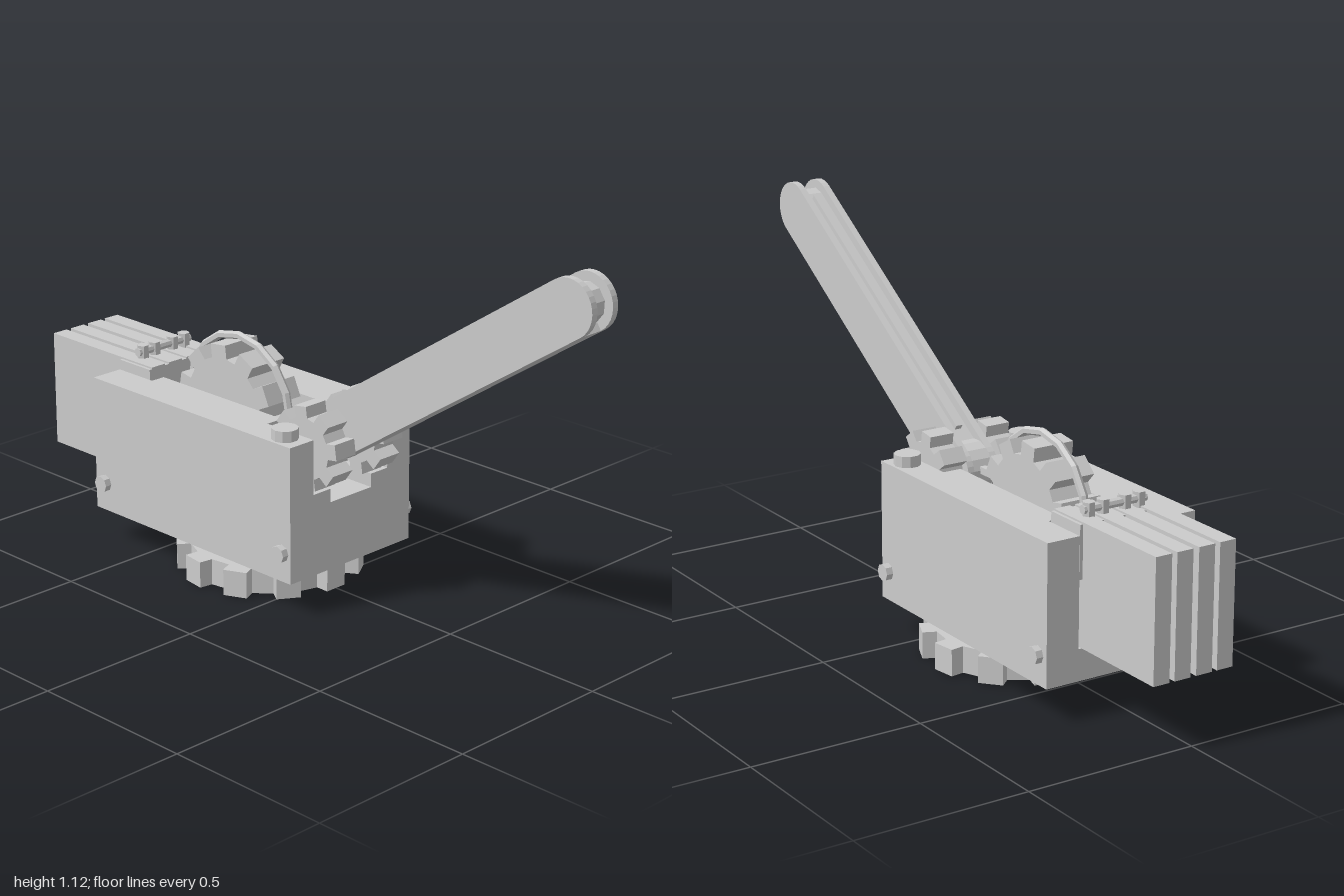
import * as THREE from 'three';

const material = new THREE.MeshStandardMaterial({ color: 0xcccccc, flatShading: true });

export function createModel() {
  const root = new THREE.Group();
  root.name = 'leverMechanism';

  const add = (parent, name, geometry, x = 0, y = 0, z = 0) => {
    const mesh = new THREE.Mesh(geometry, material);
    mesh.name = name;
    mesh.position.set(x, y, z);
    parent.add(mesh);
    return mesh;
  };
  const box = (parent, name, x0, x1, y0, y1, z0, z1) =>
    add(parent, name, new THREE.BoxGeometry(x1 - x0, y1 - y0, z1 - z0), (x0 + x1) / 2, (y0 + y1) / 2, (z0 + z1) / 2);
  const extrude = (shape, depth, segments = 8) => new THREE.ExtrudeGeometry(shape, {
    depth, bevelEnabled: false, curveSegments: segments,
  }).translate(0, 0, -depth / 2);
  const rod = (r, length, sides = 12) => new THREE.CylinderGeometry(r, r, length, sides).rotateX(Math.PI / 2);

  // Gear with square teeth, lying in the XY plane
  const gear = (teeth, rootRadius, tipRadius, toothWidth, depth, phase = 0) => {
    const points = [];
    for (let i = 0; i < teeth; i++) {
      const a = phase + (i / teeth) * Math.PI * 2;
      for (const [r, s] of [[rootRadius, -1], [tipRadius, -1], [tipRadius, 1], [rootRadius, 1]]) {
        const t = a + s * Math.asin(toothWidth / 2 / r);
        points.push(new THREE.Vector2(r * Math.cos(t), r * Math.sin(t)));
      }
    }
    return extrude(new THREE.Shape(points), depth);
  };

  // Housing: U sections along x, each [x0, x1, right half of the slot from top to floor]
  const housing = new THREE.Group();
  housing.name = 'housing';
  root.add(housing);
  const sections = [
    [-0.69, -0.55, [[0.135, 0.5], [0.135, 0.19]]],
    [-0.55, -0.06, [[0.09, 0.5], [0.09, 0.22]]],
    [-0.06, 0.12, [[0.145, 0.5], [0.145, 0.34], [0.08, 0.34], [0.08, 0.3]]],
  ];
  for (const [x0, x1, slot] of sections) {
    const outline = [[-0.235, 0.1], [0.235, 0.1], [0.235, 0.5], ...slot,
      ...slot.map(([z, y]) => [-z, y]).reverse(), [-0.235, 0.5]];
    const shape = new THREE.Shape(outline.map(([z, y]) => new THREE.Vector2(z, y)));
    add(housing, 'housingSection', extrude(shape, x1 - x0).rotateY(Math.PI / 2), (x0 + x1) / 2);
  }

  // Side and top bolts
  for (const s of [-1, 1]) {
    for (const x of [-0.65, 0.087]) add(root, 'sideBolt', rod(0.025, 0.03, 8), x, 0.185, s * 0.24);
    add(root, 'topBolt', new THREE.CylinderGeometry(0.038, 0.038, 0.04, 10), 0.055, 0.512, s * 0.19);
  }

  // Stack of upright plates with its clamp
  for (const z of [-0.1, -0.034, 0.034, 0.1]) box(root, 'plate', -1, -0.56, 0.19, 0.535, z - 0.025, z + 0.025);
  box(root, 'plateClamp', -0.69, -0.56, 0.38, 0.53, -0.134, 0.134);
  add(root, 'clampRod', rod(0.013, 0.2, 8), -0.65, 0.553);
  for (const z of [-0.08, -0.035, 0.035, 0.08]) {
    add(root, 'clampNut', new THREE.CylinderGeometry(0.018, 0.018, 0.045, 6), -0.65, 0.55, z);
  }

  // Toothed wheel in the slot, with axle and surrounding hoop
  add(root, 'slotWheel', gear(10, 0.15, 0.19, 0.06, 0.125, Math.PI / 2 + 0.12), -0.325, 0.455);
  add(root, 'slotWheelAxle', rod(0.025, 0.18), -0.325, 0.455);
  const hoop = new THREE.TorusGeometry(0.205, 0.012, 6, 16);
  add(root, 'hoop', hoop, -0.325, 0.455);
  box(root, 'hoopLink', -0.12, 0, 0.465, 0.485, -0.01, 0.01);

  // Pair of pivot gears either side of the lever
  for (const s of [-1, 1]) {
    add(root, 'pivotGear', gear(8, 0.09, 0.122, 0.045, 0.075, 0.15), 0.07, 0.458, s * 0.0925);
  }
  add(root, 'pivotAxle', rod(0.03, 0.28), 0.07, 0.458);

  // Channel lever: two round-ended cheeks with a recessed web
  const lever = new THREE.Group();
  lever.name = 'lever';
  lever.position.set(0.04, 0.458, 0);
  lever.rotation.z = Math.atan2(1.037 - 0.458, 0.917 - 0.04);
  root.add(lever);
  const length = Math.hypot(0.877, 0.579);
  const r = 0.08;
  const side = new THREE.Shape();
  side.moveTo(0, -r);
  side.lineTo(length, -r);
  side.absarc(length, 0, r, -Math.PI / 2, Math.PI / 2, false);
  side.lineTo(0, r);
  side.absarc(0, 0, r, Math.PI / 2, Math.PI * 1.5, false);
  for (const s of [-1, 1]) add(lever, 'leverCheek', extrude(side, 0.02), 0, 0, s * 0.04);
  box(lever, 'leverWeb', 0, length, -r, 0.055, -0.03, 0.03);
  box(lever, 'leverRib', 0.1, length - 0.02, 0.05, 0.07, -0.01, 0.01);
  add(lever, 'leverFoot', rod(r, 0.06, 16));
  add(lever, 'leverTipRoller', rod(0.055, 0.06, 10), length);

  // Base gear and its short shaft
  add(root, 'baseGear', gear(11, 0.23, 0.27, 0.07, 0.077).rotateX(-Math.PI / 2), -0.205, 0.0385);
  add(root, 'baseShaft', new THREE.CylinderGeometry(0.06, 0.06, 0.05, 12), -0.205, 0.09);

  return root;
}
